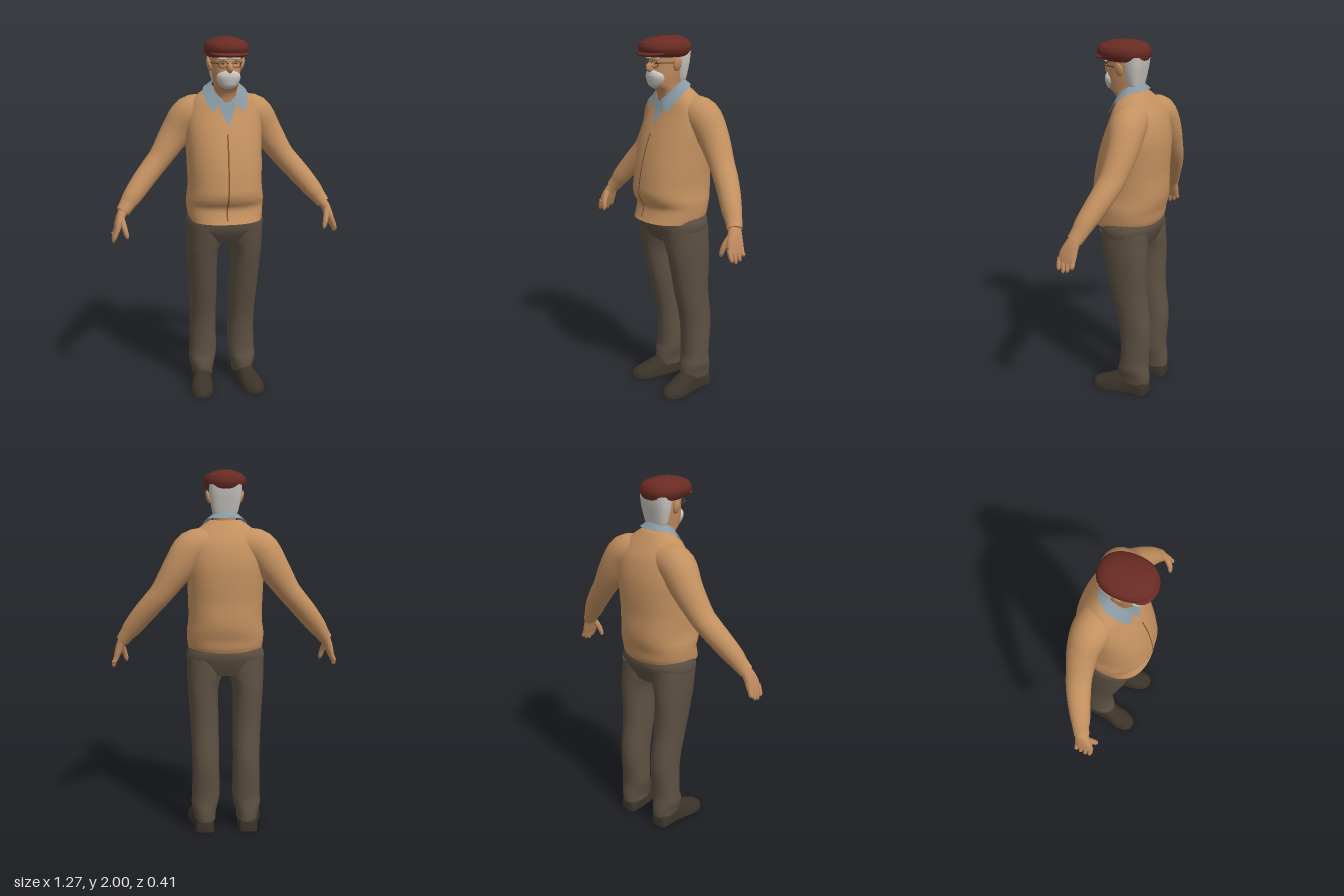
import * as THREE from 'three';
import { toCreasedNormals } from 'three/addons/utils/BufferGeometryUtils.js';

const V = (x, y, z) => new THREE.Vector3(x, y, z);
const material = (name, color, side = THREE.FrontSide) => {
  const m = new THREE.MeshStandardMaterial({ color, side });
  m.name = name;
  return m;
};

// Smoothly fill in rows between the given cross-sections
function smoothRows(rows, sub = 4) {
  const out = [];
  for (let i = 0; i < rows.length - 1; i++) {
    const a = rows[Math.max(i - 1, 0)], b = rows[i], c = rows[i + 1], d = rows[Math.min(i + 2, rows.length - 1)];
    for (let k = 0; k < sub; k++) {
      const t = k / sub;
      out.push(b.map((_, j) => b[j] + 0.5 * t * (c[j] - a[j] + t * (2 * a[j] - 5 * b[j] + 4 * c[j] - d[j]
        + t * (3 * (b[j] - c[j]) + d[j] - a[j])))));
    }
  }
  out.push(rows[rows.length - 1]);
  return out;
}

// Closed skin over sections [x, y, z, half width, half depth]; s mirrors in x
function loft(sections, { s = 1, n = 2, flat = false, ref = V(0, 0, 1), seg = 32, floor = false } = {}) {
  const rows = smoothRows(sections), pos = [], idx = [];
  const centre = rows.map((r) => V(r[0] * s, r[1], r[2]));
  const power = (v) => Math.sign(v) * Math.abs(v) ** (2 / n);
  rows.forEach((r, i) => {
    const T = flat ? V(0, 1, 0)
      : centre[Math.min(i + 1, rows.length - 1)].clone().sub(centre[Math.max(i - 1, 0)]).normalize();
    const W = ref.clone().addScaledVector(T, -ref.dot(T)).normalize();
    const U = T.clone().cross(W);
    for (let j = 0; j < seg; j++) {
      const a = (j / seg) * Math.PI * 2;
      const p = centre[i].clone().addScaledVector(U, r[3] * power(Math.cos(a))).addScaledVector(W, r[4] * power(Math.sin(a)));
      pos.push(p.x, floor ? Math.max(p.y, 0) : p.y, p.z);
    }
  });
  const last = rows.length - 1, base = rows.length * seg;
  for (const i of [0, last]) pos.push(centre[i].x, centre[i].y, centre[i].z);
  for (let j = 0; j < seg; j++) {
    const k = (j + 1) % seg;
    for (let i = 0; i < last; i++) {
      const a = i * seg + j, b = i * seg + k;
      idx.push(a, a + seg, b, b, a + seg, b + seg);
    }
    idx.push(base, j, k, base + 1, last * seg + k, last * seg + j);
  }
  return finish(pos, idx);
}

function finish(pos, idx) {
  const g = new THREE.BufferGeometry();
  g.setAttribute('position', new THREE.Float32BufferAttribute(pos, 3));
  g.setIndex(idx);
  return toCreasedNormals(g, 0.9);
}

// Open sheet from a rule f(u, v) -> point
function sheet(f, nu, nv) {
  const pos = [], idx = [];
  for (let i = 0; i <= nv; i++) for (let j = 0; j <= nu; j++) pos.push(...f(j / nu, i / nv));
  for (let i = 0; i < nv; i++) for (let j = 0; j < nu; j++) {
    const a = i * (nu + 1) + j, b = a + nu + 1;
    idx.push(a, a + 1, b, a + 1, b + 1, b);
  }
  return finish(pos, idx);
}

// Upright section from height, front, back, half width
const slice = ([y, front, back, w]) => [0, y, (front + back) / 2, w, (front - back) / 2];

const TORSO_N = 2.3;
const TORSO = [
  [1.01, 0.198, -0.155, 0.2], [1.04, 0.185, -0.17, 0.207], [1.09, 0.172, -0.178, 0.212], [1.13, 0.195, -0.19, 0.212],
  [1.17, 0.207, -0.198, 0.206], [1.22, 0.203, -0.2, 0.203], [1.3, 0.19, -0.198, 0.205], [1.4, 0.165, -0.203, 0.208],
  [1.5, 0.13, -0.2, 0.212], [1.6, 0.088, -0.175, 0.205], [1.66, 0.068, -0.14, 0.175], [1.7, 0.05, -0.11, 0.13],
  [1.73, 0.025, -0.085, 0.085],
].map(slice);
const torsoRows = smoothRows(TORSO);

// Depth of the chest surface at x, y
function chest(x, y) {
  let i = torsoRows.findIndex((r) => r[1] > y);
  i = Math.max(i < 0 ? torsoRows.length - 1 : i, 1);
  const a = torsoRows[i - 1], b = torsoRows[i], t = (y - a[1]) / (b[1] - a[1]);
  const [, , cz, rx, rz] = a.map((v, j) => v + (b[j] - v) * t);
  return cz + rz * Math.max(0, 1 - Math.abs(x / rx) ** TORSO_N) ** (1 / TORSO_N);
}

export function createModel() {
  const model = new THREE.Group();
  model.name = 'elderlyMan';
  const wool = material('tan wool', 0xc49160);
  const skin = material('skin', 0xc18c60);
  const cloth = material('trouser cloth', 0x5c5042);
  const leather = material('shoe leather', 0x3b3329);
  const felt = material('cap felt', 0x692b23);
  const white = material('white hair', 0xc8c4bf);
  const cotton = material('blue cotton', 0x8799a4, THREE.DoubleSide);
  const trim = material('opening trim', 0x87502f, THREE.DoubleSide);
  const frame = material('spectacle frame', 0x5e432b);

  const add = (name, geometry, mat) => {
    const m = new THREE.Mesh(geometry, mat);
    m.name = name;
    model.add(m);
    return m;
  };
  const blob = (name, mat, p, r) => {
    const m = add(name, new THREE.SphereGeometry(1, 24, 16), mat);
    m.position.set(...p);
    m.scale.set(...r);
    return m;
  };

  // Cardigan body and its opening
  add('cardigan', loft(TORSO, { n: TORSO_N, flat: true, seg: 48 }), wool);
  add('opening', sheet((u, v) => {
    const y = 1.03 + v * 0.46, x = -0.026 + 0.008 * u + 0.012 * v;
    return [x, y, chest(x, y) + 0.003];
  }, 1, 30), trim);

  // Shirt front and collar
  add('shirtFront', sheet((u, v) => {
    const y = 1.54 + v * 0.14, x = (u * 2 - 1) * (0.006 + 0.06 * v);
    return [x, y, chest(x, y) + 0.005];
  }, 8, 10), cotton);
  add('collar', sheet((u, v) => {
    const at = (start, r, rz, cz, top, drop) => {
      const a = start + u * (Math.PI * 2 - 2 * start), f = (1 + Math.cos(a)) / 2;
      return [r * Math.sin(a), top - drop * f * f, cz + rz * Math.cos(a)];
    };
    const hi = at(0.3, 0.072, 0.077, 0.015, 1.775, 0.11), lo = at(0.75, 0.122, 0.112, 0.02, 1.745, 0.185);
    return hi.map((h, i) => h + (lo[i] - h) * v);
  }, 40, 4), cotton);

  // Head and neck, hair, beard
  add('head', loft([
    [1.62, 0.07, -0.05, 0.06], [1.68, 0.08, -0.05, 0.06], [1.715, 0.098, -0.05, 0.062], [1.745, 0.132, -0.052, 0.064],
    [1.79, 0.138, -0.056, 0.072], [1.84, 0.132, -0.066, 0.078], [1.88, 0.13, -0.075, 0.082], [1.93, 0.125, -0.08, 0.084],
  ].map(slice), { n: 2.2, flat: true }), skin);
  add('hair', loft([
    [1.745, -0.01, -0.053, 0.052], [1.77, 0.005, -0.06, 0.066], [1.82, 0.015, -0.07, 0.079], [1.87, 0.025, -0.08, 0.087],
    [1.92, 0.035, -0.086, 0.09],
  ].map(slice), { n: 2.8, flat: true }), white);
  add('beard', loft([
    [1.728, 0.12, 0.08, 0.02], [1.742, 0.142, 0.07, 0.04], [1.765, 0.149, 0.06, 0.057], [1.79, 0.153, 0.06, 0.064],
    [1.81, 0.15, 0.07, 0.055], [1.826, 0.14, 0.09, 0.025],
  ].map(slice), { flat: true }), white);
  blob('nose', skin, [0, 1.838, 0.137], [0.018, 0.028, 0.03]);

  // Flat cap with its peak
  add('cap', loft([
    [1.892, 0.145, -0.078, 0.09], [1.905, 0.175, -0.09, 0.105], [1.935, 0.192, -0.098, 0.116],
    [1.965, 0.18, -0.09, 0.106], [1.986, 0.135, -0.065, 0.07], [1.998, 0.07, -0.03, 0.025],
  ].map(slice), { n: 2.3, flat: true }), felt);
  blob('capPeak', felt, [0, 1.912, 0.13], [0.1, 0.017, 0.07]).rotation.x = 0.12;

  // Trouser seat
  add('trouserSeat', loft([
    [0.89, 0.1, -0.125, 0.185], [0.95, 0.138, -0.15, 0.212], [1.0, 0.15, -0.163, 0.217], [1.05, 0.15, -0.155, 0.198],
  ].map(slice), { n: 2.4, flat: true }), cloth);

  for (const s of [1, -1]) {
    const side = s > 0 ? 'left' : 'right';

    // Sleeve
    add(side + 'Sleeve', loft([
      [0.09, 1.6, -0.055, 0.09, 0.095], [0.18, 1.578, -0.07, 0.1, 0.098], [0.255, 1.48, -0.083, 0.086, 0.083],
      [0.34, 1.355, -0.072, 0.066, 0.07], [0.39, 1.295, -0.058, 0.062, 0.066], [0.45, 1.225, -0.033, 0.059, 0.06],
      [0.51, 1.15, -0.003, 0.052, 0.052], [0.54, 1.11, 0.01, 0.043, 0.045], [0.568, 1.072, 0.025, 0.037, 0.042],
    ], { s }), wool);

    // Hand, fingers and thumb
    add(side + 'Palm', loft([
      [0.556, 1.09, 0.018, 0.026, 0.032], [0.58, 1.05, 0.033, 0.024, 0.04], [0.598, 1.0, 0.046, 0.02, 0.05],
      [0.61, 0.96, 0.05, 0.014, 0.047],
    ], { s, n: 2.4, seg: 20 }), skin);
    for (let i = 0; i < 4; i++) {
      const z = 0.012 + 0.026 * i, tip = 0.91 + [0.03, 0.008, 0, 0.012][i];
      add(side + 'Finger' + (i + 1), loft([
        [0.604, 0.985, z, 0.013, 0.014], [0.617, 0.95, z, 0.012, 0.0125], [0.624, tip + 0.01, z - 0.002, 0.009, 0.01],
        [0.625, tip, z - 0.003, 0.004, 0.004],
      ], { s, seg: 12 }), skin);
    }
    add(side + 'Thumb', loft([
      [0.58, 1.045, 0.06, 0.017, 0.018], [0.566, 0.995, 0.09, 0.015, 0.016], [0.556, 0.955, 0.1, 0.012, 0.012],
      [0.552, 0.938, 0.102, 0.005, 0.005],
    ], { s, seg: 12 }), skin);

    // Trouser leg
    add(side + 'TrouserLeg', loft([
      [0.118, 0.06, -0.08, 0.058, 0.09], [0.12, 0.1, -0.076, 0.063, 0.095], [0.12, 0.15, -0.075, 0.075, 0.088],
      [0.114, 0.21, -0.08, 0.078, 0.08], [0.114, 0.4, -0.082, 0.075, 0.092], [0.118, 0.6, -0.047, 0.079, 0.103],
      [0.125, 0.8, -0.025, 0.085, 0.125], [0.114, 0.89, -0.015, 0.1, 0.132], [0.109, 0.98, -0.006, 0.105, 0.138],
    ], { s, n: 2.2, flat: true }), cloth);

    // Shoe
    add(side + 'Shoe', loft([
      [0.122, 0, -0.165, 0.035, 0.06], [0.122, 0, -0.145, 0.052, 0.09], [0.124, 0, -0.05, 0.056, 0.115],
      [0.135, 0, 0.02, 0.061, 0.098], [0.149, 0, 0.085, 0.065, 0.068], [0.16, 0, 0.14, 0.05, 0.048],
      [0.165, 0, 0.167, 0.02, 0.024],
    ], { s, n: 2.4, ref: V(0, 1, 0), floor: true }), leather);

    // Ear, eyebrow, eye and spectacles
    blob(side + 'Ear', skin, [s * 0.09, 1.853, 0.03], [0.012, 0.036, 0.024]).rotation.z = -s * 0.25;
    blob(side + 'Eyebrow', white, [s * 0.036, 1.887, 0.128], [0.026, 0.007, 0.01]);
    blob(side + 'Eye', frame, [s * 0.034, 1.862, 0.125], [0.011, 0.005, 0.005]);
    const rim = add(side + 'Rim', new THREE.TorusGeometry(0.024, 0.0025, 8, 28), frame);
    rim.position.set(s * 0.035, 1.857, 0.138);
    rim.scale.y = 0.75;
    rim.rotation.y = s * 0.2;
    const temple = add(side + 'Temple', new THREE.BoxGeometry(0.004, 0.005, 0.11), frame);
    temple.position.set(s * 0.075, 1.863, 0.083);
    temple.rotation.y = -s * 0.26;
  }
  const bridge = add('bridge', new THREE.BoxGeometry(0.024, 0.004, 0.004), frame);
  bridge.position.set(0, 1.862, 0.143);
  return model;
}
